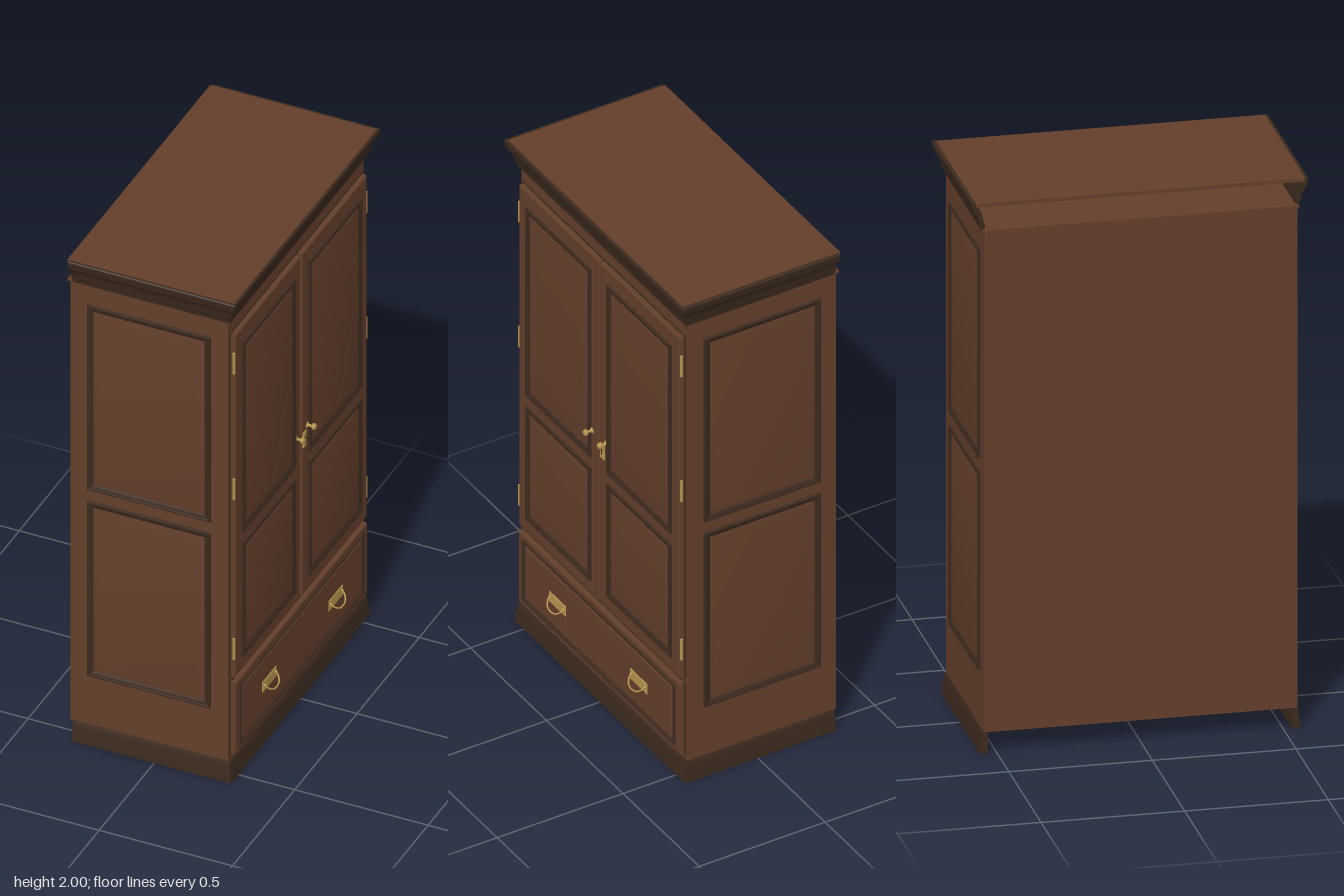
import * as THREE from 'three';
import { toCreasedNormals } from 'three/addons/utils/BufferGeometryUtils.js';

const mat = (name, color) => {
  const m = new THREE.MeshStandardMaterial({ color });
  m.name = name;
  return m;
};

// Skin a run of matching cross-sections; each section is a list of Vector3
function loft(sections, closedPath, closedProfile, caps = []) {
  const out = [];
  const n = sections.length, m = sections[0].length;
  const push = (...pts) => pts.forEach(p => out.push(p.x, p.y, p.z));
  for (let i = 0; i < (closedPath ? n : n - 1); i++) {
    for (let j = 0; j < (closedProfile ? m : m - 1); j++) {
      const A = sections[i], B = sections[(i + 1) % n], k = (j + 1) % m;
      push(A[j], B[j], B[k], A[j], B[k], A[k]);
    }
  }
  for (const [a, b, c] of caps) {
    push(sections[0][a], sections[0][b], sections[0][c]);
    push(sections[n - 1][a], sections[n - 1][c], sections[n - 1][b]);
  }
  const g = new THREE.BufferGeometry();
  g.setAttribute('position', new THREE.Float32BufferAttribute(out, 3));
  return toCreasedNormals(g, 0.45);
}

// Mitred moulding round both sides and the front; profile is [outward, height]
function skirt(profile) {
  const x0 = -0.31, x1 = 0.275, z = 0.545;
  const path = [[x0, 1, 0], [x1, 1, 1], [x1, -1, 1], [x0, -1, 0]];
  const sections = path.map(([x, s, f]) =>
    profile.map(([d, y]) => new THREE.Vector3(x + d * f, y, s * (z + d))));
  const caps = THREE.ShapeUtils.triangulateShape(profile.map(p => new THREE.Vector2(...p)), []);
  return loft(sections, false, true, caps);
}

// Mitred rectangular picture-frame moulding facing +z; profile is [inset, height]
function frame(w, h, profile) {
  const corners = [[-1, -1], [1, -1], [1, 1], [-1, 1]];
  return loft(corners.map(([sx, sy]) => profile.map(([d, z]) =>
    new THREE.Vector3(sx * (w / 2 - d), sy * (h / 2 - d), z))), true, false);
}

// Slab standing on z = 0 whose front edges are chamfered
function slab(w, h, depth, bevel, bevelDepth = bevel) {
  const profile = [[0, 0], [0, depth - bevelDepth], [bevel, depth]];
  const corners = [[-1, -1], [1, -1], [1, 1], [-1, 1]];
  const sections = corners.map(([sx, sy]) => profile.map(([d, z]) =>
    new THREE.Vector3(sx * (w / 2 - d), sy * (h / 2 - d), z)));
  // close the front face toward its centre
  sections.forEach(s => s.push(new THREE.Vector3(0, 0, depth)));
  return loft(sections, true, false);
}

export function createModel() {
  const wood = mat('brown wood', 0x643f2b);
  const dark = mat('dark wood', 0x3c2a1e);
  const brass = mat('brass', 0xb8954f);

  const model = new THREE.Group();
  model.name = 'wardrobe';
  const add = (parent, name, geo, material, x = 0, y = 0, z = 0) => {
    const mesh = new THREE.Mesh(geo, material);
    mesh.name = name;
    mesh.position.set(x, y, z);
    parent.add(mesh);
    return mesh;
  };
  const group = (parent, name) => {
    const g = new THREE.Group();
    g.name = name;
    parent.add(g);
    return g;
  };
  const box = (w, h, d) => new THREE.BoxGeometry(w, h, d);

  // Carcass, ledge and top board
  add(model, 'carcass', box(0.59, 1.82, 1.09), wood, -0.025, 0.99, 0);
  add(model, 'ledge', box(0.603, 0.01, 1.1), wood, -0.0265, 1.9, 0);
  add(model, 'topBoard', box(0.624, 0.013, 1.146), wood, -0.006, 1.9935, 0);

  // Cornice and plinth, open at the back
  add(model, 'cornice', skirt([
    [-0.004, 1.895], [0.005, 1.895], [0.008, 1.912], [0.014, 1.918], [0.017, 1.935],
    [0.022, 1.95], [0.03, 1.963], [0.036, 1.968], [0.038, 1.98], [0.04, 1.985],
    [0.04, 1.996], [0.037, 1.999], [0.024, 1.999], [0.008, 1.965], [-0.004, 1.92],
  ]), dark);
  add(model, 'plinth', skirt([
    [-0.015, 0], [0.014, 0], [0.012, 0.02], [0.007, 0.055], [0.006, 0.066], [0.001, 0.08], [-0.015, 0.08],
  ]), dark);

  // Raised panel with a dark moulding round it
  const moulding = [[0, 0], [0.002, 0.007], [0.007, 0.009], [0.012, 0.006], [0.018, 0.005], [0.024, 0.001], [0.026, 0]];
  const panel = (parent, x, y0, y1, w, z) => {
    const g = group(parent, 'panel');
    g.position.set(x, (y0 + y1) / 2, z);
    add(g, 'panelMoulding', frame(w, y1 - y0, moulding), dark);
    add(g, 'panelField', slab(w - 0.05, y1 - y0 - 0.05, 0.006, 0.024, 0.005), wood);
  };

  // Side panels
  for (const s of [1, -1]) {
    const side = group(model, s > 0 ? 'leftSide' : 'rightSide');
    side.position.z = s * 0.545;
    side.rotation.y = s > 0 ? 0 : Math.PI;
    panel(side, -0.025 * s, 1.05, 1.815, 0.465, 0);
    panel(side, -0.025 * s, 0.28, 1.005, 0.465, 0);
  }

  // Door face, built facing +z then turned toward +x
  const face = group(model, 'doorFace');
  face.position.x = 0.27;
  face.rotation.y = Math.PI / 2;
  const t = 0.021;
  add(face, 'doorGap', box(0.03, 1.41, 0.004), dark, 0, 1.1275, 0.001);
  add(face, 'doorSurround', frame(1.07, 1.425, [[0, 0], [0, 0.003], [0.012, 0.003], [0.012, 0]]), dark, 0, 1.1275, 0);
  add(face, 'drawerSurround', frame(1.07, 0.305, [[0, 0], [0, 0.003], [0.012, 0.003], [0.012, 0]]), dark, 0, 0.2475, 0);

  const knobProfile = [[0, 0], [0.011, 0], [0.011, 0.003], [0.005, 0.005], [0.005, 0.018],
    [0.011, 0.022], [0.012, 0.028], [0.009, 0.033], [0, 0.035]].map(p => new THREE.Vector2(...p));

  for (const s of [-1, 1]) {
    const door = group(face, s < 0 ? 'leftDoor' : 'rightDoor');
    add(door, 'doorLeaf', slab(0.522, 1.415, t, 0.004), wood, s * 0.267, 1.1275, 0);
    panel(door, s * 0.265, 0.99, 1.775, 0.426, t);
    panel(door, s * 0.265, 0.475, 0.947, 0.426, t);
    const knob = add(door, 'knob', new THREE.LatheGeometry(knobProfile, 20), brass, s * 0.046, 1.105, t);
    knob.rotation.x = Math.PI / 2;
    for (const y of [1.72, 1.2, 0.54])
      add(door, 'hinge', new THREE.CylinderGeometry(0.005, 0.005, 0.085, 12), brass, s * 0.531, y, 0.016);
  }

  // Lock plate with keyhole
  add(face, 'lockPlate', slab(0.026, 0.062, 0.004, 0.002), brass, 0.023, 1.06, t);
  const hole = add(face, 'keyhole', new THREE.CylinderGeometry(0.005, 0.005, 0.002, 12), dark, 0.023, 1.067, t + 0.004);
  hole.rotation.x = Math.PI / 2;
  add(face, 'keySlot', box(0.004, 0.018, 0.002), dark, 0.023, 1.057, t + 0.004);

  // Drawer with bail handles
  const drawer = group(face, 'drawer');
  add(drawer, 'drawerFront', slab(1.06, 0.295, t, 0.004), wood, 0, 0.2475, 0);
  add(drawer, 'drawerMoulding', frame(1.0, 0.252,
    [[0, 0], [0.002, 0.007], [0.007, 0.008], [0.012, 0.004], [0.016, 0]]), dark, 0, 0.25, t);
  add(drawer, 'drawerField', slab(0.966, 0.218, 0.004, 0.006, 0.003), wood, 0, 0.25, t);
  const bail = new THREE.CatmullRomCurve3([
    [-0.045, 0.004, 0.004], [-0.043, -0.004, 0.014], [-0.026, -0.018, 0.026],
    [0, -0.022, 0.03], [0.026, -0.018, 0.026], [0.043, -0.004, 0.014], [0.045, 0.004, 0.004],
  ].map(p => new THREE.Vector3(...p)));
  for (const s of [-1, 1]) {
    const handle = group(drawer, 'drawerHandle');
    handle.position.set(s * 0.266, 0.25, t + 0.003);
    add(handle, 'handlePlate', slab(0.112, 0.044, 0.004, 0.003, 0.002), brass);
    add(handle, 'handleBail', new THREE.TubeGeometry(bail, 24, 0.003, 8), brass);
    for (const e of [-1, 1])
      add(handle, 'handlePost', new THREE.SphereGeometry(0.006, 12, 8), brass, e * 0.045, 0.004, 0.005);
  }

  return model;
}
